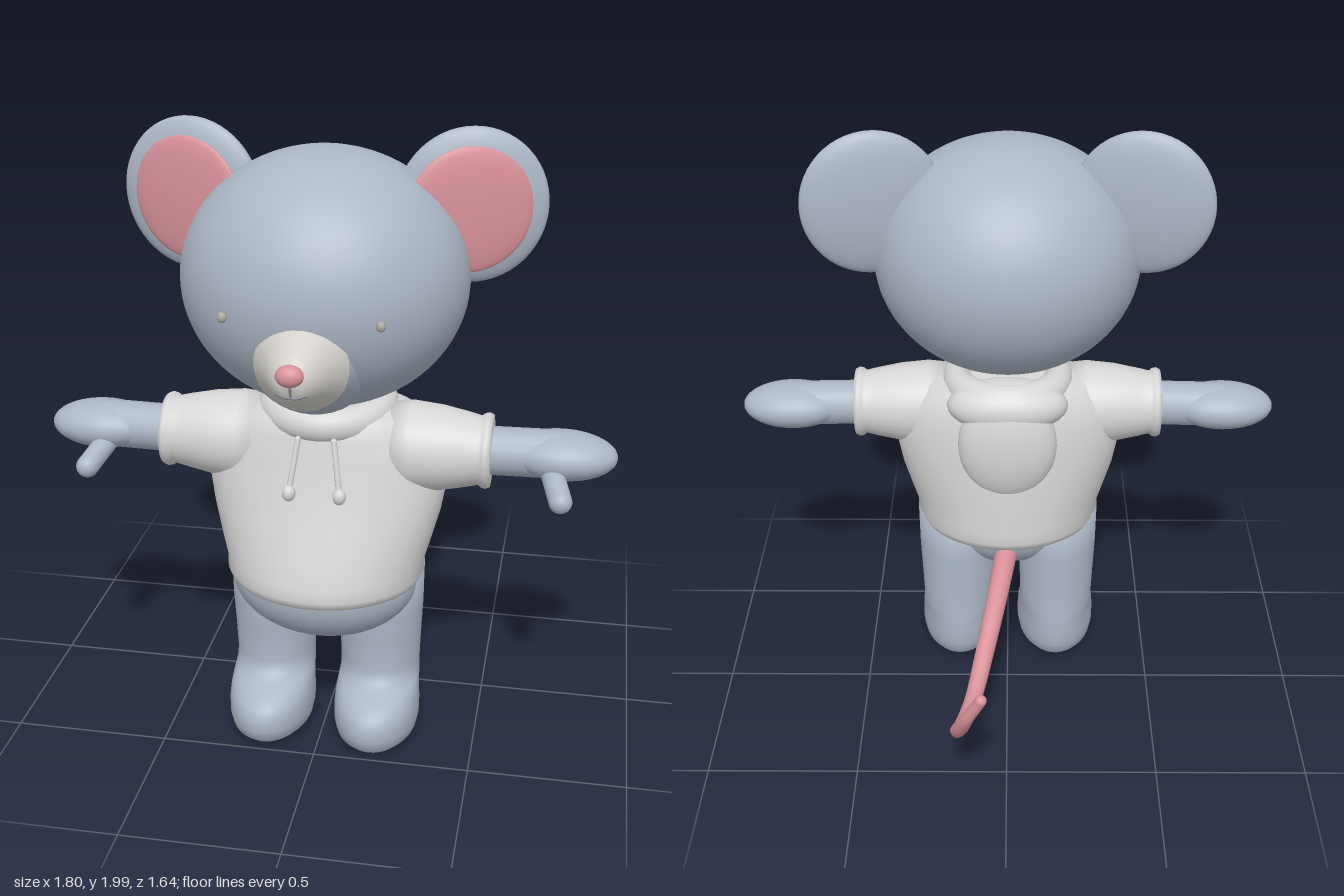
import * as THREE from 'three';

const mat = (name, color) => Object.assign(new THREE.MeshStandardMaterial({ color }), { name });

export function createModel() {
  const root = new THREE.Group();
  root.name = 'mouse';
  const fur = mat('blue grey fur', 0xacb6c5);
  const cloth = mat('light grey cloth', 0xd6d6d6);
  const cream = mat('cream muzzle', 0xd3d0cb);
  const pink = mat('pink skin', 0xda929b);
  const eyeGrey = mat('eye grey', 0xaaa89f);
  const mouthGrey = mat('mouth grey', 0x85878c);

  const add = (name, geo, material, x = 0, y = 0, z = 0, parent = root) => {
    const m = new THREE.Mesh(geo, material);
    m.name = name;
    m.position.set(x, y, z);
    parent.add(m);
    return m;
  };
  const ellipsoid = (rx, ry, rz, n = 32) => new THREE.SphereGeometry(1, n, Math.round(n * 0.7)).scale(rx, ry, rz);
  const lathe = (pts) => new THREE.LatheGeometry(pts.map(([r, h]) => new THREE.Vector2(r, h)), 40);
  const vec = (p) => new THREE.Vector3(...p);

  // Upright body from oval rings: [y, half width, back z, front z]
  const loft = (rings, n = 40) => {
    const mid = (r) => [r[0], 0, (r[2] + r[3]) / 2, (r[2] + r[3]) / 2];
    const all = [mid(rings[0]), ...rings, mid(rings[rings.length - 1])];
    const pos = [], idx = [];
    all.forEach(([y, rx, z0, z1], i) => {
      for (let j = 0; j < n; j++) {
        const a = (j / n) * Math.PI * 2;
        pos.push(rx * Math.cos(a), y, (z0 + z1) / 2 + ((z1 - z0) / 2) * Math.sin(a));
        if (i === all.length - 1) continue;
        const p = i * n + j, q = i * n + (j + 1) % n;
        if (i > 0) idx.push(p, p + n, q);
        else idx.push(p, p + n, q + n);
        if (i > 0 && i < all.length - 2) idx.push(q, p + n, q + n);
      }
    });
    const g = new THREE.BufferGeometry();
    g.setAttribute('position', new THREE.Float32BufferAttribute(pos, 3));
    g.setIndex(idx);
    g.computeVertexNormals();
    return g;
  };

  // Rod with round ends between two points
  const rod = (name, a, b, r, material) => {
    const p = vec(a), q = vec(b), d = q.clone().sub(p);
    const m = add(name, new THREE.CapsuleGeometry(r, d.length(), 8, 16), material);
    m.position.copy(p).add(q).multiplyScalar(0.5);
    m.quaternion.setFromUnitVectors(new THREE.Vector3(0, 1, 0), d.normalize());
    return m;
  };

  // Head and muzzle
  add('head', ellipsoid(0.435, 0.39, 0.405, 56), fur, 0, 1.552, 0.26);
  add('muzzleBase', lathe([[0.2, 0.5], [0.175, 0.55], [0.147, 0.6], [0.127, 0.645]]), fur, 0, 1.4, 0).rotation.x = Math.PI / 2;
  add('muzzle', lathe([[0.138, 0.628], [0.127, 0.645], [0.109, 0.675], [0.092, 0.705], [0.075, 0.735],
    [0.057, 0.76], [0.035, 0.779], [0, 0.787]]), cream, 0, 1.4, 0).rotation.x = Math.PI / 2;
  add('nose', ellipsoid(0.04, 0.032, 0.03, 24), pink, 0, 1.43, 0.79);
  const smile = new THREE.CatmullRomCurve3([[-0.042, 1.366, 0.762], [-0.02, 1.36, 0.772], [0, 1.36, 0.775],
    [0.02, 1.36, 0.772], [0.042, 1.366, 0.762]].map(vec));
  add('mouth', new THREE.TubeGeometry(smile, 16, 0.005, 8), mouthGrey);
  rod('lipLine', [0, 1.4, 0.787], [0, 1.362, 0.775], 0.004, mouthGrey);

  // Hoodie
  add('hoodieBody', loft([
    [0.56, 0.285, 0.01, 0.52], [0.565, 0.305, -0.01, 0.54], [0.59, 0.318, -0.02, 0.548], [0.63, 0.318, -0.018, 0.542],
    [0.7, 0.338, -0.015, 0.52], [0.8, 0.365, -0.01, 0.485], [0.9, 0.382, -0.002, 0.452], [1.0, 0.372, 0.005, 0.428],
    [1.07, 0.34, 0.02, 0.412], [1.12, 0.28, 0.035, 0.4], [1.15, 0.2, 0.06, 0.37]]), cloth);
  const collar = add('collar', new THREE.TorusGeometry(0.165, 0.05, 20, 48).rotateX(Math.PI / 2), cloth, 0, 1.122, 0.21);
  collar.scale.set(1.03, 1.08, 1.02);
  collar.rotation.x = 0.04;
  add('hood', ellipsoid(0.165, 0.2, 0.075), cloth, 0, 0.965, 0.03);
  add('hoodTop', ellipsoid(0.2, 0.09, 0.1), cloth, 0, 1.095, 0.07);

  // Belly below the hem
  add('hips', ellipsoid(0.3, 0.2, 0.215, 40), fur, 0, 0.56, 0.285);

  for (const s of [1, -1]) {
    const side = s > 0 ? 'left' : 'right';

    // Ear with pink inside, turned forward near the head
    add(side + 'Ear', ellipsoid(0.228, 0.235, 0.052, 40), fur, s * 0.425, 1.763, 0.17).rotation.y = s * 0.2;
    add(side + 'InnerEar', ellipsoid(0.192, 0.188, 0.024, 36), pink, s * 0.425, 1.763, 0.23).rotation.y = s * 0.36;
    add(side + 'Eye', ellipsoid(0.014, 0.016, 0.012, 16), eyeGrey, s * 0.225, 1.53, 0.63);

    // Sleeve, arm, hand and thumb
    add(side + 'Sleeve', lathe([[0, 0.17], [0.135, 0.19], [0.143, 0.27], [0.134, 0.36], [0.118, 0.44], [0.108, 0.482],
      [0.116, 0.492], [0.119, 0.505], [0.113, 0.518], [0.095, 0.52], [0, 0.515]]), cloth, 0, 1.01, 0.242)
      .rotation.z = -s * Math.PI / 2;
    rod(side + 'Arm', [s * 0.42, 1.01, 0.242], [s * 0.72, 1.01, 0.23], 0.076, fur);
    add(side + 'Hand', ellipsoid(0.17, 0.075, 0.107), fur, s * 0.732, 1.008, 0.228);
    rod(side + 'Thumb', [s * 0.7, 0.98, 0.27], [s * 0.738, 0.928, 0.398], 0.036, fur);

    // Leg and foot in one piece
    add(side + 'Leg', loft([
      [0.005, 0.085, 0.15, 0.43], [0.012, 0.113, 0.118, 0.47], [0.035, 0.132, 0.097, 0.497], [0.07, 0.139, 0.087, 0.508],
      [0.11, 0.139, 0.084, 0.509], [0.145, 0.137, 0.084, 0.492], [0.172, 0.134, 0.085, 0.452], [0.19, 0.132, 0.086, 0.405],
      [0.21, 0.13, 0.088, 0.37], [0.25, 0.13, 0.09, 0.358], [0.35, 0.134, 0.092, 0.362], [0.45, 0.139, 0.092, 0.37],
      [0.6, 0.141, 0.095, 0.37]]), fur, s * 0.176);

    // Drawstring with bead
    rod(side + 'Drawstring', [s * 0.055, 1.085, 0.425], [s * 0.077, 0.93, 0.459], 0.009, cloth);
    add(side + 'DrawstringBead', ellipsoid(0.021, 0.026, 0.021, 16), cloth, s * 0.078, 0.92, 0.463);
  }

  // Tapered tail
  const path = new THREE.CatmullRomCurve3([[0, 0.48, 0.14], [0.035, 0.425, -0.09], [0.075, 0.335, -0.28], [0.11, 0.272, -0.44],
    [0.14, 0.288, -0.58], [0.152, 0.365, -0.695], [0.125, 0.47, -0.77], [0.075, 0.575, -0.798]].map(vec));
  const segs = 64, sides = 16, tail = new THREE.TubeGeometry(path, segs, 0.04, sides);
  const v = new THREE.Vector3(), p = tail.attributes.position;
  for (let i = 0; i < p.count; i++) {
    const t = Math.floor(i / (sides + 1)) / segs, c = path.getPointAt(t);
    v.fromBufferAttribute(p, i).sub(c).multiplyScalar(1 - 0.55 * t).add(c);
    p.setXYZ(i, v.x, v.y, v.z);
  }
  add('tail', tail, pink);
  add('tailTip', ellipsoid(0.018, 0.018, 0.018, 16), pink, 0.075, 0.575, -0.798);
  return root;
}
